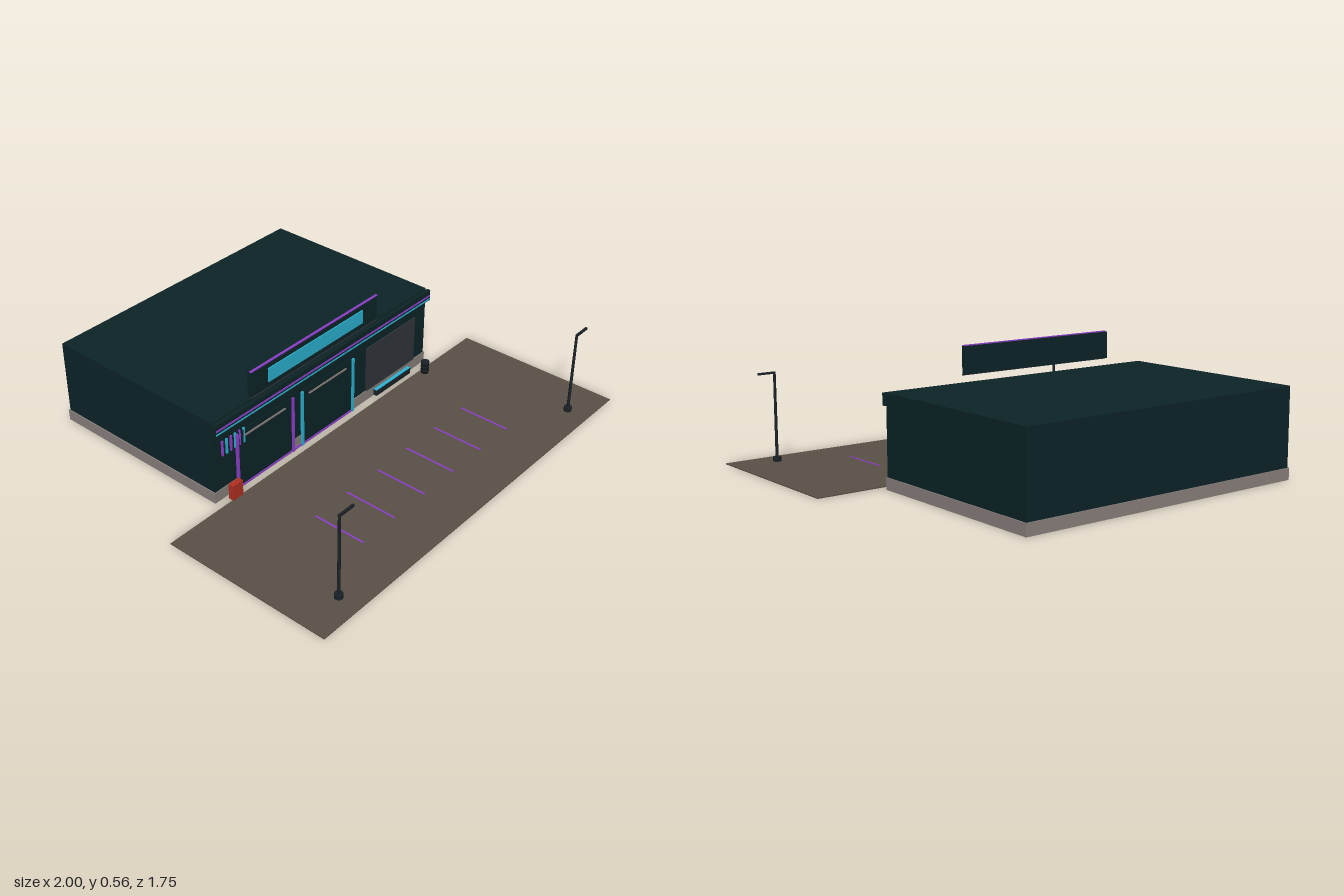
import * as THREE from 'three';

const mat = (name, color) => {
  const m = new THREE.MeshStandardMaterial({ color });
  m.name = name;
  return m;
};

export function createModel() {
  const model = new THREE.Group();
  model.name = 'shopWithParking';
  const wall = mat('darkTealWall', 0x0d2427);
  const stone = mat('greyStone', 0x8a817e);
  const asphalt = mat('brownAsphalt', 0x5a5047);
  const cyan = mat('cyanNeon', 0x2bb3d2);
  const purple = mat('purpleNeon', 0x8e3fcc);
  const slate = mat('slatePanel', 0x30363c);
  const metal = mat('darkMetal', 0x1b2227);
  const red = mat('redPaint', 0xb03022);
  const black = mat('blackPlastic', 0x0f1719);

  const add = (name, geo, material, x, y, z, parent = model) => {
    const m = new THREE.Mesh(geo, material);
    m.name = name;
    m.position.set(x, y, z);
    parent.add(m);
    return m;
  };
  // Box given by its minimum and maximum corners
  const box = (name, material, x0, x1, y0, y1, z0, z1, parent) =>
    add(name, new THREE.BoxGeometry(x1 - x0, y1 - y0, z1 - z0), material,
      (x0 + x1) / 2, (y0 + y1) / 2, (z0 + z1) / 2, parent);

  // Building on its plinth
  box('building', wall, -0.7, 0.7, 0.05, 0.4, -0.87, 0.03);
  box('plinth', stone, -0.705, 0.705, 0, 0.052, -0.875, 0.034);

  // Fascia with two neon lines
  box('fascia', wall, -0.703, 0.703, 0.345, 0.398, 0.036, 0.054);
  box('fasciaPurpleLine', purple, -0.7, 0.7, 0.366, 0.374, 0.052, 0.057);
  box('fasciaCyanLine', cyan, -0.7, 0.7, 0.35, 0.356, 0.052, 0.057);

  // Raised sign board
  box('signBoard', wall, -0.5, 0.3, 0.432, 0.552, 0.04, 0.06);
  box('signPanel', cyan, -0.4, 0.2, 0.46, 0.525, 0.058, 0.065);
  box('signTopLine', purple, -0.5, 0.3, 0.551, 0.556, 0.052, 0.062);
  box('signBottomLine', slate, -0.5, 0.3, 0.428, 0.433, 0.052, 0.062);

  // Two shop windows with neon side posts and light rails
  for (const [x0, x1, m] of [[-0.57, -0.23, purple], [-0.17, 0.168, cyan]]) {
    box('windowGlass', wall, x0, x1, 0.008, 0.28, 0.032, 0.036);
    for (const x of [x0, x1]) box('windowPost', m, x - 0.006, x + 0.006, 0, 0.28, 0.034, 0.044);
    box('windowRail', stone, x0 + 0.045, x1 - 0.045, 0.246, 0.254, 0.034, 0.04);
  }
  box('sillLine', purple, -0.57, 0.168, 0, 0.008, 0.034, 0.04);

  // Row of small neon bars
  for (let i = 0; i < 6; i++) {
    const x = -0.65 + i * 0.025;
    box('neonBar', i % 2 ? cyan : purple, x - 0.004, x + 0.004, 0.215, 0.288, 0.03, 0.038);
  }

  // Shutter panel and low bench beneath it
  box('shutter', slate, 0.27, 0.62, 0.052, 0.28, 0.03, 0.036);
  box('bench', metal, 0.325, 0.575, 0.005, 0.033, 0.034, 0.054);
  box('benchTop', cyan, 0.325, 0.575, 0.033, 0.036, 0.036, 0.053);

  // Red box by the entrance
  box('redBox', red, -0.655, -0.597, 0.014, 0.088, 0.064, 0.09);

  // Banded litter bin
  add('litterBin', new THREE.CylinderGeometry(0.018, 0.018, 0.06, 16), black, 0.627, 0.03, 0.1);
  for (const y of [0.02, 0.04, 0.06])
    add('binBand', new THREE.CylinderGeometry(0.02, 0.02, 0.009, 16), metal, 0.627, y, 0.1);

  // Parking lot and bay lines
  box('parkingLot', asphalt, -1, 1, 0, 0.004, 0.075, 0.875);
  for (let i = 0; i < 6; i++) {
    const x = -0.5 + i * 0.2;
    box('bayLine', purple, x - 0.004, x + 0.004, 0.003, 0.006, 0.4, 0.65);
  }

  // Street lamps, both arms pointing the same way
  for (const x of [-0.8, 0.8]) {
    const lamp = new THREE.Group();
    lamp.name = 'streetLamp';
    lamp.position.set(x, 0, 0.775);
    add('lampBase', new THREE.CylinderGeometry(0.018, 0.018, 0.022, 12), metal, 0, 0.014, 0, lamp);
    add('lampPole', new THREE.CylinderGeometry(0.006, 0.007, 0.4, 10), metal, 0, 0.203, 0, lamp);
    box('lampArm', metal, -0.004, 0.08, 0.397, 0.406, -0.005, 0.005, lamp);
    model.add(lamp);
  }
  return model;
}
